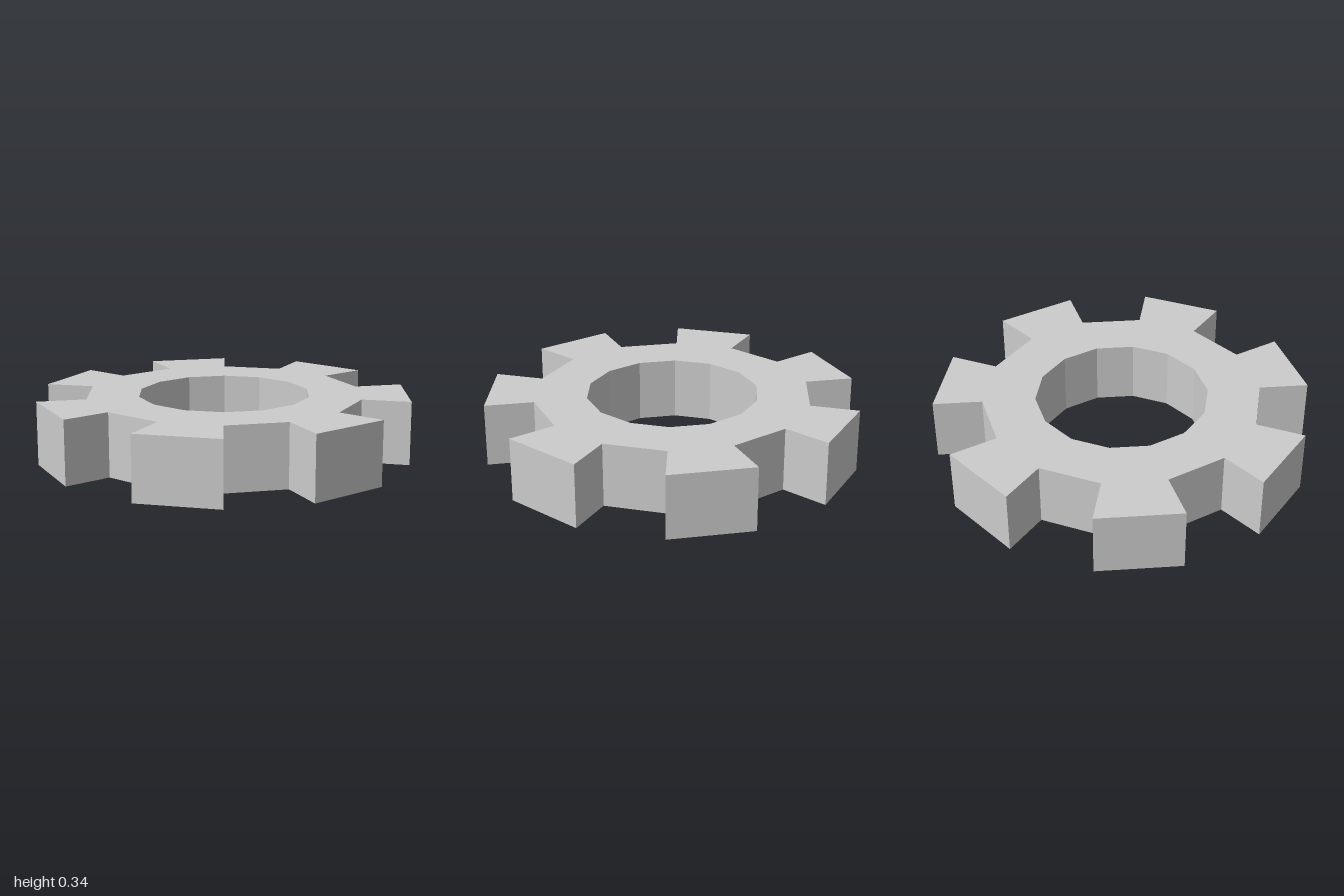
import * as THREE from 'three';

const TEETH = 7;
const TIP_RADIUS = 1, ROOT_RADIUS = 0.74, BORE_RADIUS = 0.46, HEIGHT = 0.34;

const polar = (radius, angle) =>
  new THREE.Vector2(radius * Math.cos(angle), radius * Math.sin(angle));

export function createModel() {
  const group = new THREE.Group();
  group.name = 'gear';

  // Outline: each tooth spans half a pitch, with radial flanks and straight edges
  const half = Math.PI / (2 * TEETH);
  const outline = [], bore = [];
  for (let i = 0; i < TEETH; i++) {
    const centre = (i * 2 * Math.PI) / TEETH;
    const start = centre - half, end = centre + half;
    outline.push(
      polar(ROOT_RADIUS, start), polar(TIP_RADIUS, start),
      polar(TIP_RADIUS, end), polar(ROOT_RADIUS, end)
    );
    bore.push(polar(BORE_RADIUS, start), polar(BORE_RADIUS, end));
  }

  // Fourteen-sided centre hole
  const shape = new THREE.Shape(outline);
  shape.holes.push(new THREE.Path(bore));

  // Extrude upwards so the gear lies flat on the ground
  const geometry = new THREE.ExtrudeGeometry(shape, { depth: HEIGHT, bevelEnabled: false });
  geometry.rotateX(-Math.PI / 2);

  const material = new THREE.MeshStandardMaterial({ color: 0xcccccc, flatShading: true });
  const wheel = new THREE.Mesh(geometry, material);
  wheel.name = 'toothedRing';
  group.add(wheel);
  return group;
}
